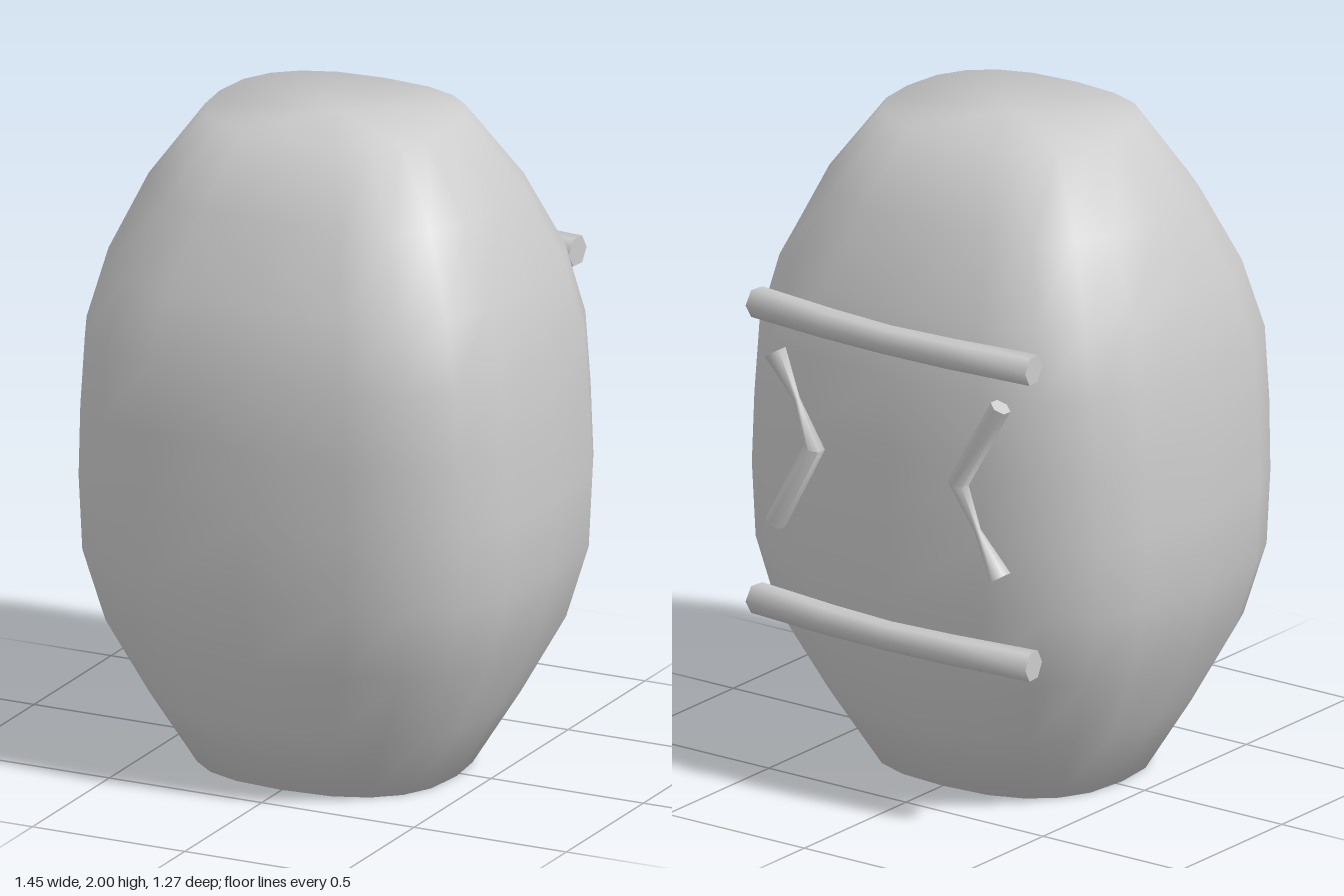
import * as THREE from 'three';
import { toCreasedNormals } from 'three/addons/utils/BufferGeometryUtils.js';

const material = new THREE.MeshStandardMaterial({ color: 0xcccccc });

// Skin closed rings of points, with a fan cap at each end
function loft(rings) {
  const n = rings[0].length, last = rings.length - 1;
  const points = rings.flat();
  const index = [];
  for (let r = 0; r < last; r++) {
    for (let i = 0; i < n; i++) {
      const a = r * n + i, b = r * n + (i + 1) % n;
      index.push(a, b, b + n, a, b + n, a + n);
    }
  }
  for (const r of [0, last]) {
    const middle = new THREE.Vector3();
    rings[r].forEach((p) => middle.addScaledVector(p, 1 / n));
    const c = points.push(middle) - 1;
    for (let i = 0; i < n; i++) {
      const a = r * n + i, b = r * n + (i + 1) % n;
      if (r === 0) index.push(c, b, a);
      else index.push(c, a, b);
    }
  }
  const geometry = new THREE.BufferGeometry().setFromPoints(points);
  geometry.setIndex(index);
  geometry.computeVertexNormals();
  return geometry;
}

// Six-sided rod through [x, y, z, radius] stations, mitred at the bends
function rod(name, stations) {
  const centres = stations.map((s) => new THREE.Vector3(s[0], s[1], s[2]));
  const rings = centres.map((c, k) => {
    const before = centres[Math.max(k - 1, 0)];
    const after = centres[Math.min(k + 1, centres.length - 1)];
    const along = after.clone().sub(before).normalize();
    const u = new THREE.Vector3(0, 0, 1);
    u.addScaledVector(along, -u.dot(along)).normalize();
    const v = along.clone().cross(u);
    return Array.from({ length: 6 }, (_, i) => {
      const t = (i / 6) * Math.PI * 2;
      return c.clone()
        .addScaledVector(u, Math.cos(t) * stations[k][3])
        .addScaledVector(v, Math.sin(t) * stations[k][3]);
    });
  });
  const mesh = new THREE.Mesh(toCreasedNormals(loft(rings), 1.2), material);
  mesh.name = name;
  return mesh;
}

// Barrel body: rounded-square sections as [y, half width, front z, back z, squareness]
function makeBody() {
  const sections = [
    [0, 0.40, 0.37, -0.32, 2.5],
    [0.22, 0.53, 0.48, -0.44, 2.7],
    [0.45, 0.65, 0.575, -0.545, 2.9],
    [0.67, 0.715, 0.615, -0.58, 3],
    [0.9, 0.725, 0.625, -0.59, 3],
    [1.12, 0.715, 0.632, -0.59, 3],
    [1.34, 0.70, 0.625, -0.58, 3],
    [1.55, 0.645, 0.57, -0.54, 2.9],
    [1.78, 0.54, 0.465, -0.435, 2.7],
    [2, 0.38, 0.34, -0.30, 2.5],
  ];
  const sides = 20;
  const power = (v, n) => Math.sign(v) * Math.abs(v) ** (2 / n);
  const rings = sections.map(([y, w, front, back, n]) =>
    Array.from({ length: sides }, (_, i) => {
      const t = (i / sides) * Math.PI * 2;
      return new THREE.Vector3(
        w * power(Math.sin(t), n),
        y,
        (front + back) / 2 + ((front - back) / 2) * power(Math.cos(t), n)
      );
    }));
  const mesh = new THREE.Mesh(loft(rings), material);
  mesh.name = 'body';
  return mesh;
}

export function createModel() {
  const group = new THREE.Group();
  group.name = 'barrel';
  group.add(makeBody());

  // Two gently bowed bars across the back
  for (const [name, y] of [['upperBar', 1.465], ['lowerBar', 0.545]]) {
    group.add(rod(name, [
      [-0.505, y, -0.553, 0.048],
      [-0.22, y, -0.583, 0.046],
      [0, y, -0.594, 0.044],
      [0.22, y, -0.583, 0.046],
      [0.505, y, -0.553, 0.048],
    ]));
  }

  // Two bent rods pointing inwards; each has one leg pinched halfway
  for (const [name, s] of [['leftChevron', 1], ['rightChevron', -1]]) {
    const y = 1.075;
    group.add(rod(name, [
      [s * 0.41, y - s * 0.265, -0.588, 0.032],
      [s * 0.262, y, -0.598, 0.032],
      [s * 0.33, y + s * 0.135, -0.592, 0.01],
      [s * 0.41, y + s * 0.265, -0.59, 0.034],
    ]));
  }
  return group;
}
